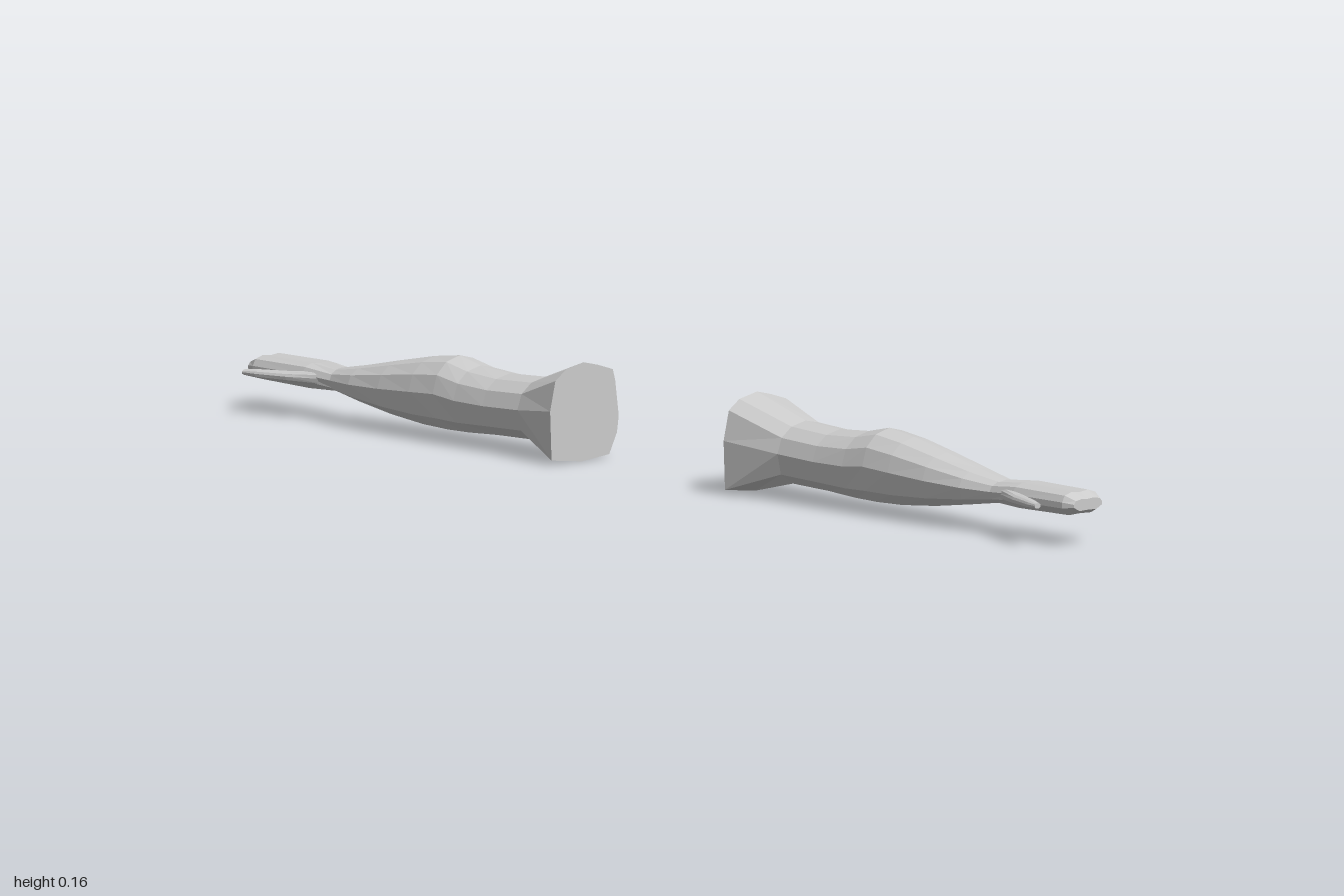
import * as THREE from 'three';

// Unit cross-sections as [z, y], running from the top towards the front
const shoulderShape = [[0, 1], [0.5, 0.9], [0.8, 0.7], [0.95, 0.1], [0.91, -0.89], [0.05, -0.99],
  [-0.73, -0.92], [-0.95, -0.5], [-1, -0.17], [-0.9, 0.55], [-0.83, 0.78], [-0.4, 0.91]];
const armShape = [[0, 1], [0.5, 0.87], [0.85, 0.55], [1, 0.05], [0.88, -0.62], [0.45, -0.96],
  [0, -1], [-0.5, -0.93], [-0.9, -0.55], [-1, 0.05], [-0.85, 0.58], [-0.48, 0.88]];
const handShape = [[0, 0.9], [0.45, 1], [0.85, 0.75], [1, 0.2], [1, -0.3], [0.6, -0.95],
  [0, -0.9], [-0.6, -0.95], [-1, -0.3], [-1, 0.2], [-0.85, 0.75], [-0.45, 1]];

// Skin of rings {x, y: [low, high], z: [back, front], shape}, closed at both ends
function loft(rings, side) {
  const n = rings[0].shape.length, pos = [], idx = [];
  const put = (x, y, z) => pos.push(x * side, y, z);
  for (const { x, y, z, shape } of rings) {
    for (const [pz, py] of shape) {
      put(x, (y[0] + y[1]) / 2 + py * (y[1] - y[0]) / 2, (z[0] + z[1]) / 2 + pz * (z[1] - z[0]) / 2);
    }
  }
  const tri = (a, b, c) => (side > 0 ? idx.push(a, b, c) : idx.push(a, c, b));
  for (let r = 0; r < rings.length - 1; r++) {
    for (let i = 0; i < n; i++) {
      const a = r * n + i, b = r * n + (i + 1) % n;
      tri(a, b, a + n);
      tri(b, b + n, a + n);
    }
  }
  // End caps
  for (const r of [0, rings.length - 1]) {
    const ring = rings[r], c = pos.length / 3;
    put(ring.x, (ring.y[0] + ring.y[1]) / 2, (ring.z[0] + ring.z[1]) / 2);
    for (let i = 0; i < n; i++) {
      const a = r * n + i, b = r * n + (i + 1) % n;
      r === 0 ? tri(c, b, a) : tri(c, a, b);
    }
  }
  const g = new THREE.BufferGeometry();
  g.setAttribute('position', new THREE.Float32BufferAttribute(pos, 3));
  g.setIndex(idx);
  g.computeVertexNormals();
  return g;
}

const ring = (shape, x, low, high, back, front) => ({ shape, x, y: [low, high], z: [back, front] });

function buildArm(side, shoulderX, material) {
  const arm = new THREE.Group();
  const add = (name, rings) => {
    const mesh = new THREE.Mesh(loft(rings, side), material);
    mesh.name = name;
    arm.add(mesh);
  };

  // Flared shoulder opening, upper arm, elbow and forearm
  add('sleeveAndForearm', [
    ring(shoulderShape, shoulderX, 0.002, 0.166, -0.079, 0.076),
    ring(armShape, 0.315, 0.028, 0.131, -0.066, 0.058),
    ring(armShape, 0.4, 0.026, 0.127, -0.064, 0.058),
    ring(armShape, 0.47, 0.022, 0.132, -0.063, 0.058),
    ring(armShape, 0.52, 0.021, 0.143, -0.062, 0.058),
    ring(armShape, 0.58, 0.023, 0.135, -0.061, 0.057),
    ring(armShape, 0.66, 0.031, 0.119, -0.055, 0.053),
    ring(armShape, 0.74, 0.043, 0.102, -0.045, 0.045),
    ring(armShape, 0.805, 0.053, 0.09, -0.03, 0.03),
  ]);

  // Flat hand with the fingers held together
  add('hand', [
    ring(armShape, 0.795, 0.053, 0.09, -0.031, 0.031),
    ring(handShape, 0.86, 0.051, 0.093, -0.043, 0.036),
    ring(handShape, 0.98, 0.053, 0.092, -0.043, 0.036),
    ring(handShape, 1, 0.062, 0.082, -0.034, 0.028),
  ]);

  // Thumb angled out to the front
  add('thumb', [
    ring(armShape, 0.82, 0.06, 0.084, 0.005, 0.03),
    ring(armShape, 0.88, 0.063, 0.08, 0.028, 0.055),
    ring(armShape, 0.935, 0.065, 0.079, 0.052, 0.073),
    ring(armShape, 0.96, 0.068, 0.077, 0.065, 0.078),
  ]);
  return arm;
}

export function createModel() {
  const model = new THREE.Group();
  const material = new THREE.MeshStandardMaterial({ color: 0xcccccc, flatShading: true });
  const left = buildArm(1, 0.2, material);
  left.name = 'leftArm';
  const right = buildArm(-1, 0.22, material);
  right.name = 'rightArm';
  model.add(left, right);
  return model;
}
